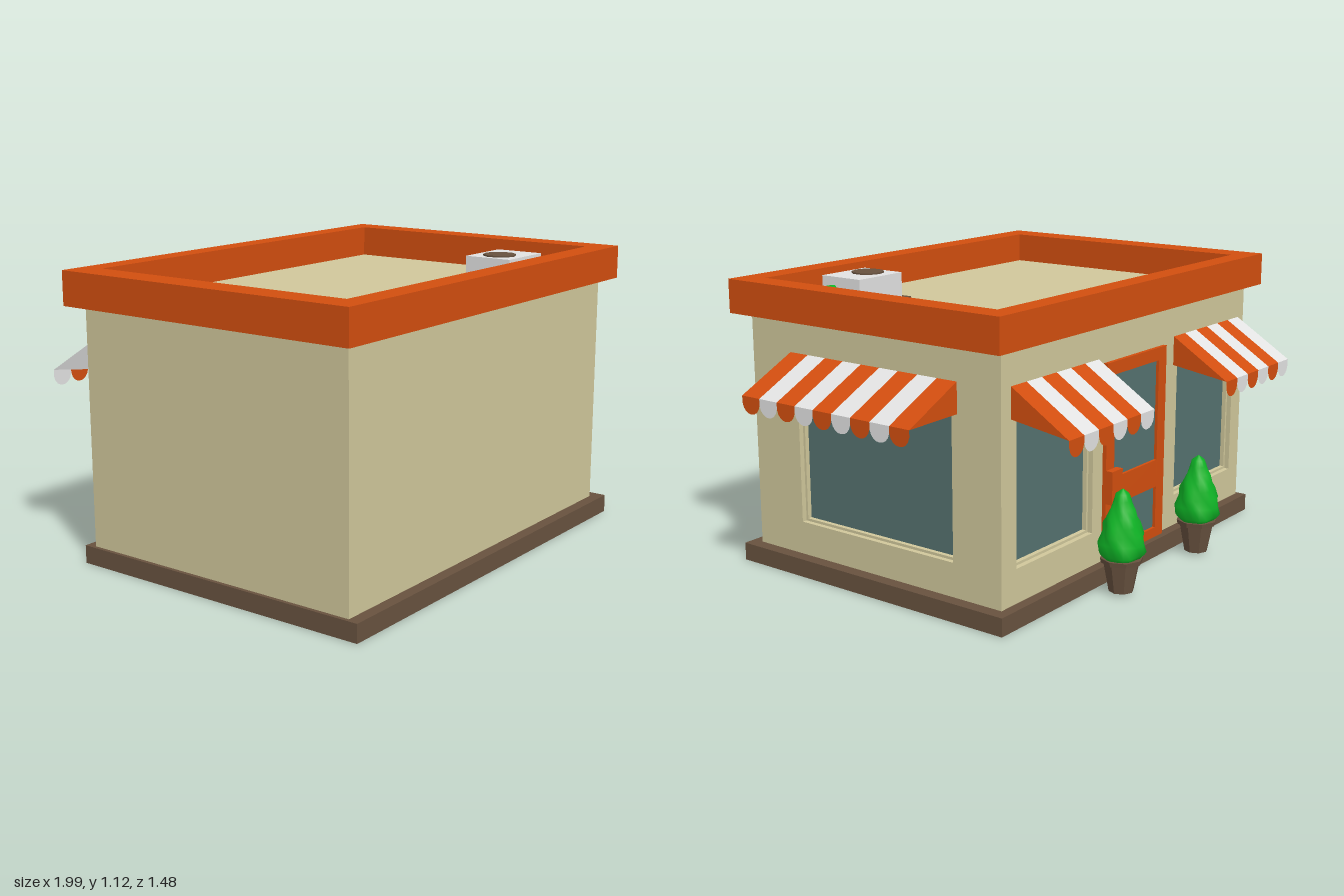
import * as THREE from 'three';

const mat = (name, color, side = THREE.FrontSide) => {
  const m = new THREE.MeshStandardMaterial({ color, side });
  m.name = name;
  return m;
};

export function createModel() {
  const root = new THREE.Group();
  root.name = 'shop';
  const beige = mat('beige plaster', 0xd0c79b);
  const orange = mat('orange paint', 0xd24e0f, THREE.DoubleSide);
  const brown = mat('brown stone', 0x68523f);
  const glass = mat('window glass', 0x55726f);
  const white = mat('white cloth', 0xe2e2e2, THREE.DoubleSide);
  const green = mat('green leaves', 0x0fb526);

  const add = (name, geo, material, parent = root) => {
    const m = new THREE.Mesh(geo, material);
    m.name = name;
    parent.add(m);
    return m;
  };
  // Box given by its two corners
  const box = (name, x0, x1, y0, y1, z0, z1, material, parent) => {
    const m = add(name, new THREE.BoxGeometry(x1 - x0, y1 - y0, z1 - z0), material, parent);
    m.position.set((x0 + x1) / 2, (y0 + y1) / 2, (z0 + z1) / 2);
    return m;
  };
  const trace = (path, [x0, x1, y0, y1]) => {
    path.moveTo(x0, y0);
    path.lineTo(x1, y0);
    path.lineTo(x1, y1);
    path.lineTo(x0, y1);
    path.closePath();
    return path;
  };
  // Extruded rectangle with rectangular holes
  const panel = (rect, holes, depth) => {
    const s = trace(new THREE.Shape(), rect);
    holes.forEach(h => s.holes.push(trace(new THREE.Path(), h)));
    return new THREE.ExtrudeGeometry(s, { depth, bevelEnabled: false });
  };
  // Horizontal ring; rectangles are x0, x1, z0, z1
  const ring = (name, outer, inner, y0, y1, material) => {
    const m = add(name, panel(outer, [inner], y1 - y0), material);
    m.rotation.x = Math.PI / 2;
    m.position.y = y1;
  };

  // Plinth, recessed floor, body and roof edge
  ring('plinth', [-0.95, 0.795, -0.54, 0.735], [-0.9, 0.745, -0.49, 0.685], 0, 0.07, brown);
  box('floor', -0.91, 0.755, 0.04, 0.065, -0.5, 0.695, beige);
  box('body', -0.935, 0.695, 0.06, 1.0, -0.45, 0.69, beige);
  ring('parapet', [-1, 0.81, -0.545, 0.74], [-0.885, 0.71, -0.46, 0.645], 0.99, 1.12, orange);

  // Wall with recessed windows, drawn in the plane z = 0 facing local +z
  const windowWall = (name, rect, windows) => {
    const g = new THREE.Group();
    g.name = name;
    root.add(g);
    add('wall', panel(rect, windows, 0.05), beige, g).position.z = -0.05;
    windows.forEach(([a, b, c, d]) => {
      const inner = [a + 0.01, b - 0.01, c + 0.01, d - 0.01];
      add('windowFrame', panel([a, b, c, d], [inner], 0.025), beige, g).position.z = -0.045;
      box('windowPane', ...inner, -0.046, -0.038, glass, g);
    });
    return g;
  };
  const back = windowWall('backWall', [-0.745, 0.935, 0.06, 0.995],
    [[-0.66, -0.19, 0.2, 0.82], [0.4, 0.86, 0.2, 0.82]]);
  back.position.z = -0.5;
  back.rotation.y = Math.PI;
  const side = windowWall('sideWall', [-0.69, 0.5, 0.06, 0.995], [[-0.46, 0.285, 0.2, 0.82]]);
  side.position.x = 0.745;
  side.rotation.y = Math.PI / 2;

  // Door with two panes and a handle block, mounted on the back wall
  add('doorFrame', panel([-0.125, 0.29, 0.07, 0.84],
    [[-0.07, 0.235, 0.39, 0.79], [-0.07, 0.235, 0.11, 0.28]], 0.016), orange, back);
  box('doorUpperPane', -0.07, 0.235, 0.39, 0.79, 0, 0.004, glass, back);
  box('doorLowerPane', -0.07, 0.235, 0.11, 0.28, 0, 0.004, glass, back);
  box('doorHandle', -0.125, -0.055, 0.3, 0.43, 0.016, 0.045, orange, back);

  // Striped awning: sloping strips, scalloped flaps and two end gussets
  const awning = (parent, x0, x1, count, top, edge, reach) => {
    const g = new THREE.Group();
    g.name = 'awning';
    parent.add(g);
    const w = (x1 - x0) / count;
    const rise = top - edge;
    for (let i = 0; i < count; i++) {
      const m = i % 2 ? white : orange;
      const strip = add('awningStripe', new THREE.PlaneGeometry(w, Math.hypot(reach, rise)), m, g);
      strip.position.set(x0 + w * (i + 0.5), (top + edge) / 2, reach / 2);
      strip.rotation.x = -Math.atan2(reach, rise);
      const s = new THREE.Shape();
      s.moveTo(-w / 2, 0);
      s.lineTo(-w / 2, -0.025);
      s.bezierCurveTo(-w * 0.4, -0.078, w * 0.4, -0.078, w / 2, -0.025);
      s.lineTo(w / 2, 0);
      const flap = add('awningScallop', new THREE.ShapeGeometry(s, 8), m, g);
      flap.position.set(x0 + w * (i + 0.5), edge, reach);
    }
    for (const [x, i] of [[x0, 0], [x1, count - 1]]) {
      const s = new THREE.Shape();
      s.moveTo(0, top);
      s.lineTo(0, 0.745);
      s.lineTo(-reach, edge);
      s.closePath();
      const end = add('awningEnd', new THREE.ShapeGeometry(s), i % 2 ? white : orange, g);
      end.rotation.y = Math.PI / 2;
      end.position.x = x;
    }
  };
  awning(side, -0.49, 0.31, 9, 0.86, 0.742, 0.248);
  awning(back, -0.69, -0.16, 6, 0.86, 0.71, 0.24);
  awning(back, 0.37, 0.89, 6, 0.86, 0.71, 0.24);

  // Potted shrubs: tapered pot, rim and a lumpy spiral cone of leaves
  const profile = [[0, 0.13], [0.06, 0.135], [0.088, 0.16], [0.082, 0.2], [0.077, 0.235], [0.068, 0.27],
    [0.056, 0.3], [0.044, 0.33], [0.032, 0.36], [0.024, 0.385], [0, 0.405]];
  for (const x of [-0.35, 0.2]) {
    const g = new THREE.Group();
    g.name = 'pottedShrub';
    g.position.set(x, 0, -0.64);
    root.add(g);
    const potGeo = new THREE.CylinderGeometry(0.07, 0.047, 0.12, 8).toNonIndexed();
    potGeo.computeVertexNormals();
    add('pot', potGeo, brown, g).position.y = 0.07;
    const rimGeo = new THREE.CylinderGeometry(0.082, 0.078, 0.018, 8).toNonIndexed();
    rimGeo.computeVertexNormals();
    add('potRim', rimGeo, brown, g).position.y = 0.132;
    const leaves = new THREE.LatheGeometry(profile.map(p => new THREE.Vector2(...p)), 20);
    const p = leaves.attributes.position;
    for (let i = 0; i < p.count; i++) {
      const a = Math.atan2(p.getZ(i), p.getX(i));
      const y = p.getY(i);
      const k = 1 + 0.08 * Math.sin(3 * a + y * 60) + 0.05 * Math.sin(5 * a - y * 45);
      p.setXYZ(i, p.getX(i) * k, y, p.getZ(i) * k);
    }
    leaves.computeVertexNormals();
    add('leaves', leaves, green, g);
  }

  // Rooftop air unit with fan and a ribbed hose
  box('unitBase', 0.23, 0.515, 1.0, 1.015, 0.34, 0.59, brown);
  box('unitCase', 0.25, 0.49, 1.015, 1.11, 0.37, 0.565, white);
  const fan = add('unitFan', new THREE.CylinderGeometry(0.064, 0.064, 0.008, 10), brown);
  fan.position.set(0.335, 1.112, 0.47);
  const hosePath = new THREE.CatmullRomCurve3([[0.48, 1.06], [0.54, 1.06], [0.578, 1.045], [0.585, 0.995]]
    .map(([x, y]) => new THREE.Vector3(x, y, 0.505)));
  add('unitHose', new THREE.TubeGeometry(hosePath, 16, 0.018, 10), green);

  return root;
}
